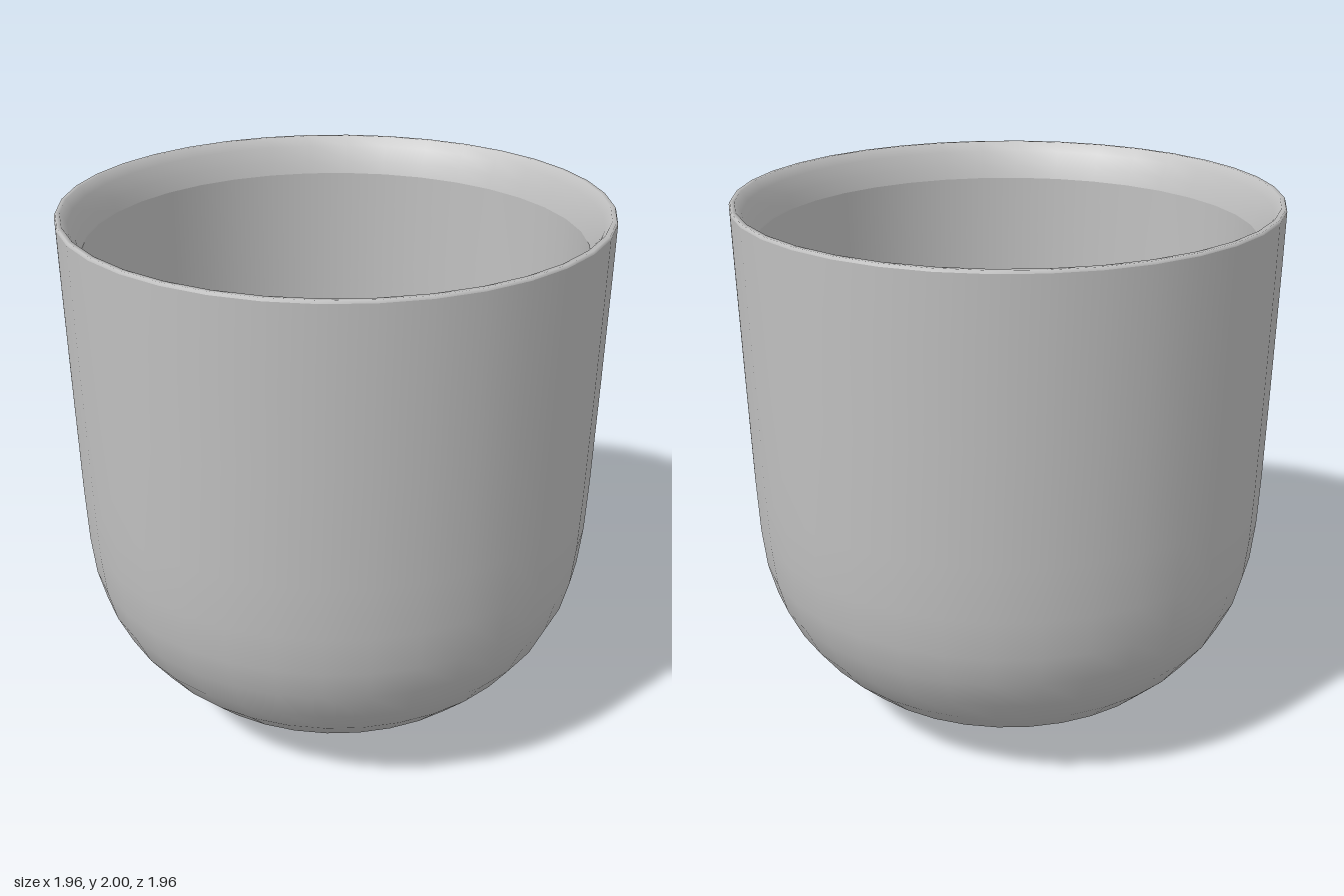
import * as THREE from 'three';

// Turn a profile of [radius, height] pairs around the y axis
function lathe(name, profile, material) {
  const points = profile.map(([r, y]) => new THREE.Vector2(r, y));
  const mesh = new THREE.Mesh(new THREE.LatheGeometry(points, 36), material);
  mesh.name = name;
  return mesh;
}

export function createModel() {
  const model = new THREE.Group();
  model.name = 'cup';
  const clay = new THREE.MeshStandardMaterial({ color: 0xc0c0c0 });
  clay.name = 'plain grey';

  // Outer shell: rounded foot rising into a nearly straight wall
  model.add(lathe('outerShell', [
    [0, 0], [0.16, 0.005], [0.3, 0.02], [0.42, 0.05], [0.55, 0.115], [0.68, 0.2],
    [0.78, 0.3], [0.86, 0.41], [0.915, 0.53], [0.945, 0.65], [0.96, 0.8],
    [0.967, 1], [0.974, 1.4], [0.98, 1.8], [0.982, 1.99],
  ], clay));

  // Rim: thin lip, then a bevel sloping down into the cup
  model.add(lathe('rim', [
    [0.982, 1.99], [0.978, 2], [0.962, 2], [0.94, 1.965], [0.915, 1.91], [0.9, 1.86],
  ], clay));

  // Inner wall and bowl, following the shell at an even thickness
  model.add(lathe('innerBowl', [
    [0.9, 1.86], [0.895, 1.4], [0.888, 1], [0.88, 0.8], [0.865, 0.67], [0.835, 0.55],
    [0.785, 0.45], [0.715, 0.35], [0.625, 0.265], [0.51, 0.185], [0.39, 0.13],
    [0.28, 0.1], [0.15, 0.085], [0, 0.08],
  ], clay));

  return model;
}
